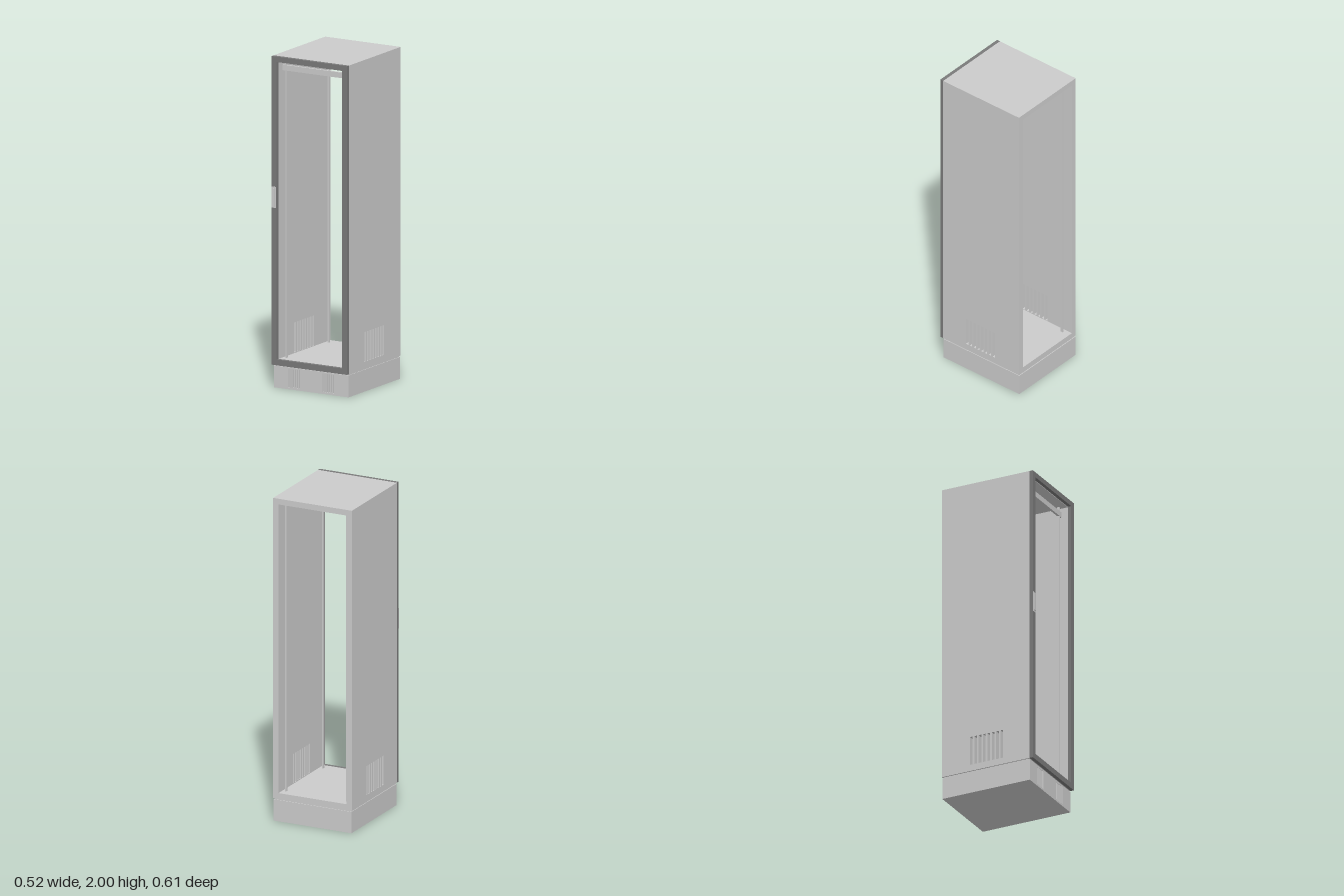
import * as THREE from 'three';

const grey = new THREE.MeshStandardMaterial({ color: 0xcccccc });
const dark = new THREE.MeshStandardMaterial({ color: 0x7a7a7a });

const W = 0.26, T = 0.035, BACK = -0.305, FRONT = 0.275, DOOR = 0.297;
const BASE = 0.14, TOP = 2, IN = W - T;

function add(parent, name, geometry, material = grey) {
  const mesh = new THREE.Mesh(geometry, material);
  mesh.name = name;
  parent.add(mesh);
  return mesh;
}

// Box given by its lower and upper limits
function box(parent, name, x0, x1, y0, y1, z0, z1, material) {
  const mesh = add(parent, name, new THREE.BoxGeometry(x1 - x0, y1 - y0, z1 - z0), material);
  mesh.position.set((x0 + x1) / 2, (y0 + y1) / 2, (z0 + z1) / 2);
  return mesh;
}

function rect(x0, x1, y0, y1, Type = THREE.Shape) {
  const r = new Type();
  r.moveTo(x0, y0);
  r.lineTo(x1, y0);
  r.lineTo(x1, y1);
  r.lineTo(x0, y1);
  r.closePath();
  return r;
}

// Row of evenly spaced upright slots between a and b
function slots(shape, a, b, y0, y1, count, width) {
  const pitch = (b - a - width) / (count - 1);
  for (let i = 0; i < count; i++) {
    const s = a + i * pitch;
    shape.holes.push(rect(s, s + width, y0, y1, THREE.Path));
  }
}

function plate(shape, depth) {
  return new THREE.ExtrudeGeometry(shape, { depth, bevelEnabled: false });
}

export function createModel() {
  const model = new THREE.Group();
  model.name = 'cabinet';

  // Cabinet shell, open at the front and back
  const shell = new THREE.Group();
  shell.name = 'shell';
  model.add(shell);
  for (const side of [1, -1]) {
    const wall = rect(-FRONT, -BACK, BASE, TOP);
    slots(wall, -0.1, 0.12, 0.18, 0.36, 8, 0.017);
    const mesh = add(shell, side > 0 ? 'leftWall' : 'rightWall', plate(wall, T));
    mesh.rotation.y = Math.PI / 2;
    mesh.position.x = side > 0 ? IN : -W;
  }
  box(shell, 'roof', -IN, IN, TOP - T, TOP, BACK, FRONT);
  box(shell, 'floor', -IN, IN, BASE, BASE + T, BACK, FRONT);

  // Hollow plinth with two slotted vents in its front panel
  const plinth = new THREE.Group();
  plinth.name = 'plinth';
  model.add(plinth);
  const P = 0.257, H = 0.132, wall = 0.02;
  const panel = rect(-P, P, 0, H);
  slots(panel, -0.157, -0.077, 0.012, 0.124, 6, 0.008);
  slots(panel, 0.077, 0.157, 0.012, 0.124, 6, 0.008);
  add(plinth, 'plinthFront', plate(panel, wall)).position.z = FRONT - wall;
  box(plinth, 'plinthBack', -P, P, 0, H, BACK, BACK + wall);
  for (const s of [1, -1]) {
    const x = s * (P - wall / 2);
    box(plinth, 'plinthSide', x - wall / 2, x + wall / 2, 0, H, BACK + wall, FRONT - wall);
  }
  box(plinth, 'plinthBottom', -P + wall, P - wall, 0, 0.006, BACK + wall, FRONT - wall);
  // Recessed seam between plinth and shell
  box(plinth, 'seam', -P + 0.004, P - 0.004, H, BASE, BACK + 0.005, FRONT - 0.005);

  // Dark door frame
  const frame = rect(-W, W, BASE, TOP);
  frame.holes.push(rect(-IN, IN, BASE + T, TOP - T + 0.003, THREE.Path));
  add(model, 'doorFrame', plate(frame, DOOR - FRONT), dark).position.z = FRONT;

  // Four thin mounting posts
  for (const x of [-0.201, 0.201]) {
    for (const z of [-0.25, 0.225]) {
      box(model, 'mountingPost', x - 0.004, x + 0.004, BASE + T, TOP - T, z - 0.008, z + 0.008);
    }
  }

  // Cross bar near the roof
  box(model, 'crossBar', -IN, IN, 1.907, 1.94, 0.22, 0.234);

  // Door handle: base plate and raised grip
  const handle = new THREE.Group();
  handle.name = 'handle';
  model.add(handle);
  box(handle, 'handlePlate', -0.26, -0.228, 1.088, 1.215, DOOR, 0.3);
  box(handle, 'handleGrip', -0.254, -0.234, 1.097, 1.206, 0.3, 0.304);

  return model;
}
